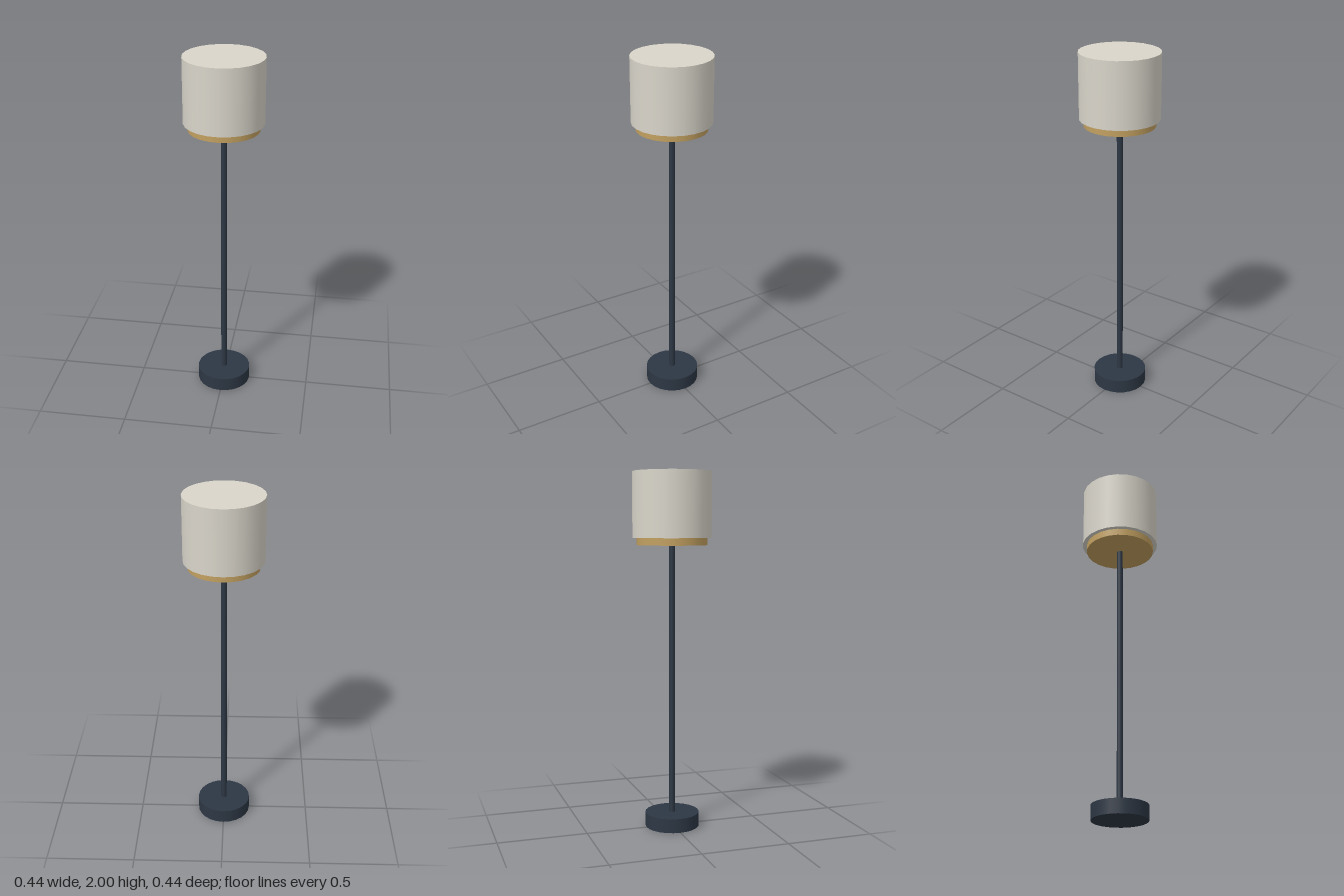
import * as THREE from 'three';

export function createModel() {
  const lamp = new THREE.Group();
  lamp.name = 'floorLamp';

  const material = (name, color) => {
    const m = new THREE.MeshStandardMaterial({ color });
    m.name = name;
    return m;
  };
  const darkMetal = material('dark blue metal', 0x2d3744);
  const brass = material('brass', 0xc2a060);
  const fabric = material('warm white fabric', 0xd9d5ca);

  // Upright cylinder between two heights
  const disc = (name, radius, bottom, top, sides, mat) => {
    const mesh = new THREE.Mesh(new THREE.CylinderGeometry(radius, radius, top - bottom, sides), mat);
    mesh.name = name;
    mesh.position.y = (bottom + top) / 2;
    lamp.add(mesh);
  };

  disc('base', 0.153, 0, 0.08, 24, darkMetal);
  disc('pole', 0.017, 0.08, 1.6, 12, darkMetal);
  disc('brassCollar', 0.195, 1.6, 1.64, 24, brass);
  disc('shade', 0.219, 1.64, 2, 24, fabric);

  return lamp;
}
